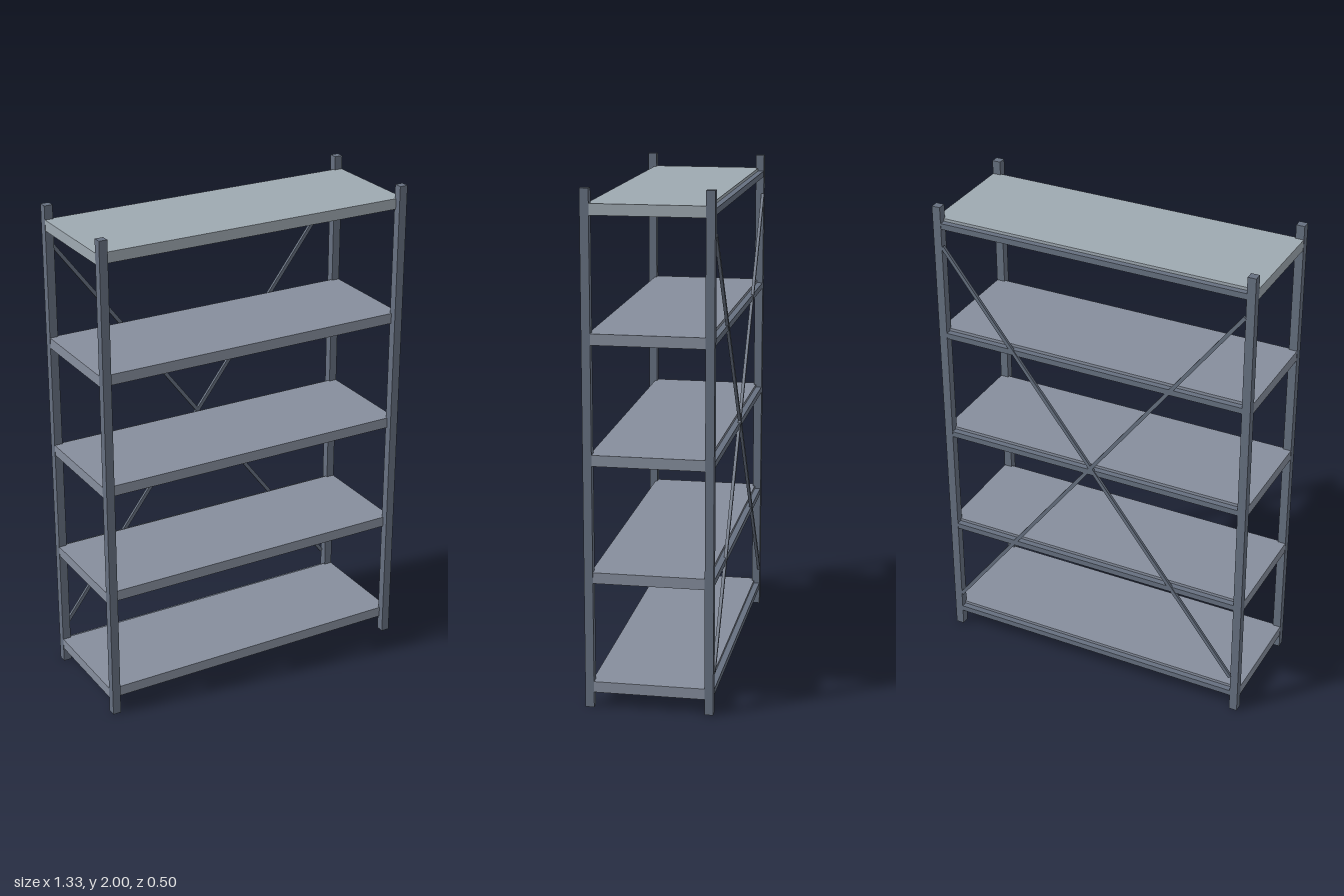
import * as THREE from 'three';

export function createModel() {
  const model = new THREE.Group();
  model.name = 'shelvingUnit';

  const frameMat = new THREE.MeshStandardMaterial({ color: 0x667080 });
  const shelfMat = new THREE.MeshStandardMaterial({ color: 0x868e9d });
  const topMat = new THREE.MeshStandardMaterial({ color: 0x9ea9b1 });

  const addBox = (name, mat, size, pos) => {
    const mesh = new THREE.Mesh(new THREE.BoxGeometry(...size), mat);
    mesh.name = name;
    mesh.position.set(...pos);
    model.add(mesh);
    return mesh;
  };

  // Four square corner posts
  const post = 0.034;
  for (const sx of [-1, 1]) {
    for (const sz of [-1, 1]) {
      const name = (sz > 0 ? 'front' : 'back') + (sx > 0 ? 'Left' : 'Right') + 'Post';
      addBox(name, frameMat, [post, 2, post], [sx * 0.649, 1, sz * 0.232]);
    }
  }

  // Shelves, each with a slim rail along the back between the posts
  const levels = [0.083, 0.523, 0.983, 1.444, 1.923];
  levels.forEach((y, i) => {
    const mat = i === levels.length - 1 ? topMat : shelfMat;
    addBox(`shelf${i + 1}`, mat, [1.33, 0.043, 0.448], [0, y, 0]);
    addBox(`backRail${i + 1}`, frameMat, [1.27, 0.024, 0.026], [0, y - 0.002, -0.235]);
  });

  // Diagonal cross braces on the back
  const dx = 1.26, dy = 1.67;
  for (const s of [-1, 1]) {
    const brace = addBox(s > 0 ? 'risingBrace' : 'fallingBrace', frameMat,
      [Math.hypot(dx, dy), 0.015, 0.012], [0, 1, -0.246]);
    brace.rotation.z = s * Math.atan2(dy, dx);
  }

  return model;
}
